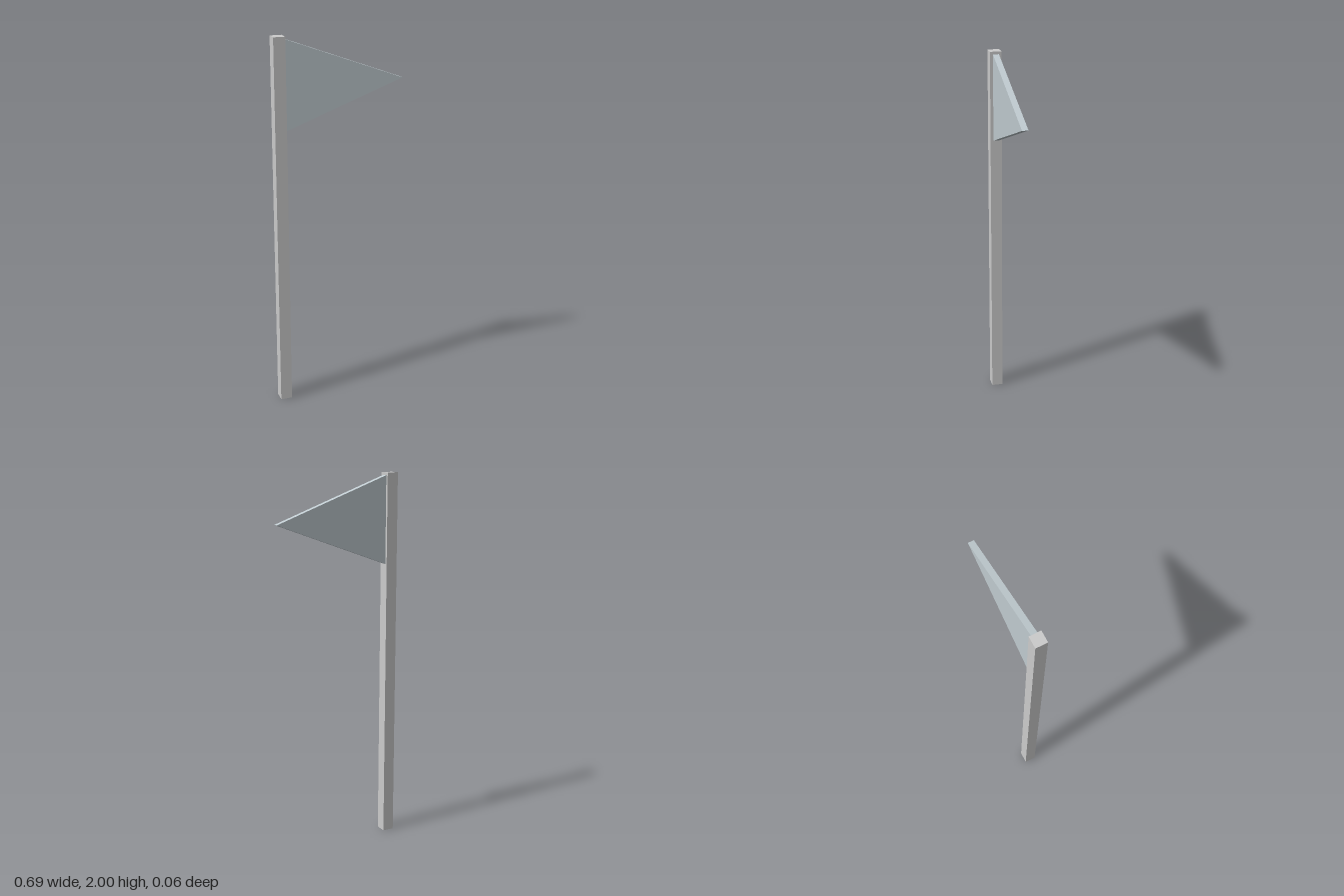
import * as THREE from 'three';

export function createModel() {
  const group = new THREE.Group();

  // Square pole
  const pole = new THREE.Mesh(
    new THREE.BoxGeometry(0.062, 2, 0.062),
    new THREE.MeshStandardMaterial({ color: 0xcccccc, flatShading: true })
  );
  pole.name = 'pole';
  pole.position.set(-0.317, 1, 0);
  group.add(pole);

  // Triangular pennant, a thin slab pointing to the left
  const outline = new THREE.Shape([
    new THREE.Vector2(-0.287, 1.52),
    new THREE.Vector2(0.347, 1.753),
    new THREE.Vector2(-0.287, 1.986),
  ]);
  const pennant = new THREE.Mesh(
    new THREE.ExtrudeGeometry(outline, { depth: 0.032, bevelEnabled: false }),
    new THREE.MeshStandardMaterial({ color: 0xc0cbd0, flatShading: true })
  );
  pennant.name = 'pennant';
  pennant.position.z = -0.017;
  group.add(pennant);

  return group;
}
